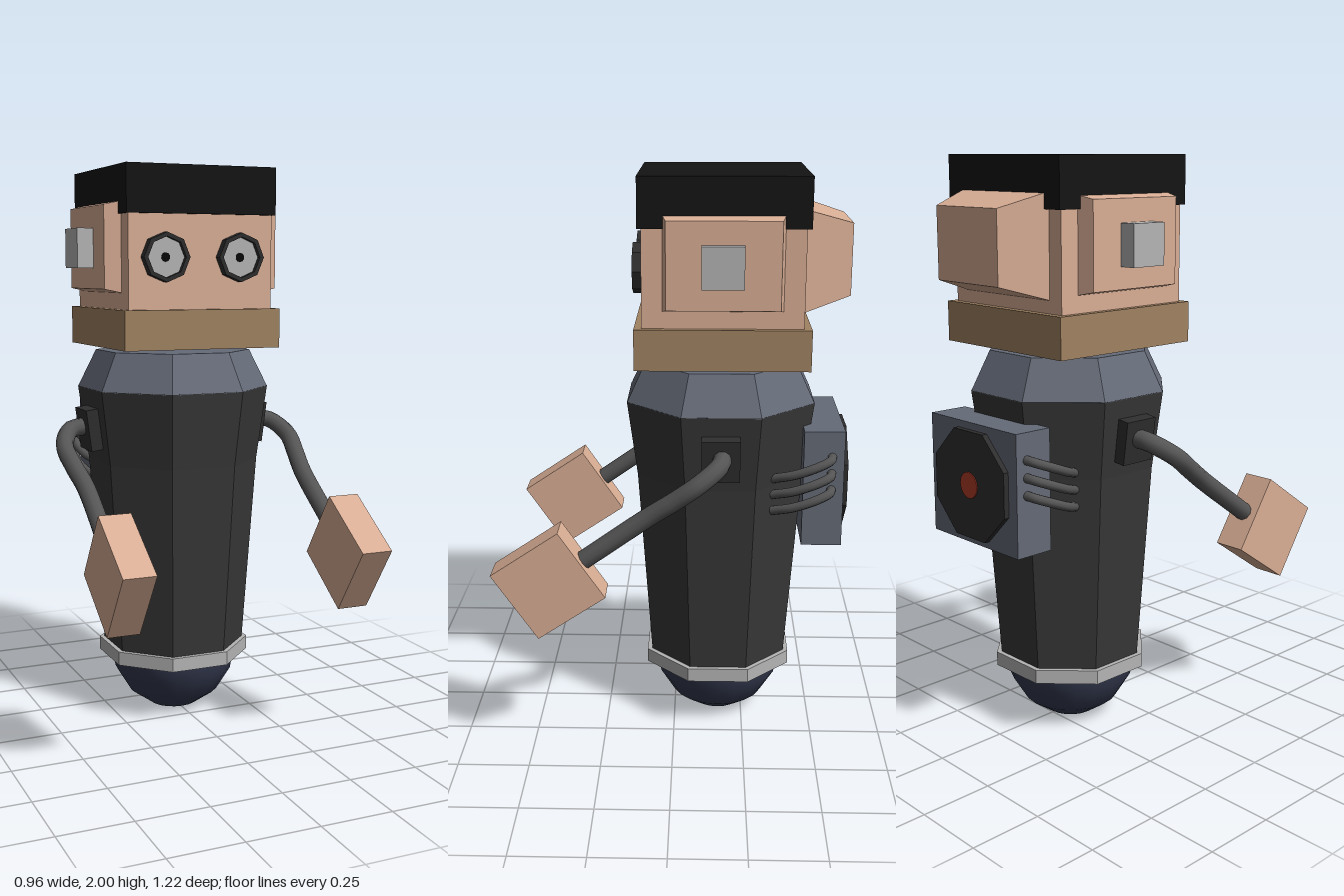
import * as THREE from 'three';

const mat = (color, flat = true) => new THREE.MeshStandardMaterial({ color, flatShading: flat });
const SKIN = mat(0xd9ae95), JAW = mat(0xa08262), HAIR = mat(0x141414), SUIT = mat(0x373737),
  STEEL = mat(0x646a77), SILVER = mat(0xb4b4b4), DARK = mat(0x2e2e2e), HOSE = mat(0x555555, false),
  BASE = mat(0x343a50, false), RED = mat(0xb03a28), BLACK = mat(0x080808);
const CZ = -0.16; // z of the body axis
const OCT = 1 / Math.cos(Math.PI / 8); // flat-to-corner ratio of an octagon

export function createModel() {
  const model = new THREE.Group();
  model.name = 'robot';

  const add = (name, geometry, material, x = 0, y = 0, z = 0) => {
    const mesh = new THREE.Mesh(geometry, material);
    mesh.name = name;
    mesh.position.set(x, y, z);
    model.add(mesh);
    return mesh;
  };
  const box = (name, w, h, d, material, x, y, z) =>
    add(name, new THREE.BoxGeometry(w, h, d), material, x, y, z);
  // Octagonal lathe with flat sides facing the axes; profile gives [apothem, y]
  const octLathe = (profile) => new THREE.LatheGeometry(
    profile.map(([r, y]) => new THREE.Vector2(r * OCT, y)), 8, Math.PI / 8);
  // Block whose face on the outer side of one axis is shrunk by an inset
  const taperedBlock = (size, axis, sign, inset) => {
    const g = new THREE.BoxGeometry(...size), p = g.attributes.position;
    for (let i = 0; i < p.count; i++) {
      if (p.getComponent(i, axis) * sign < 0) continue;
      for (let k = 0; k < 3; k++) {
        const v = p.getComponent(i, k);
        if (k !== axis) p.setComponent(i, k, v - Math.sign(v) * inset[k]);
      }
    }
    g.computeVertexNormals();
    return g;
  };
  const tube = (name, points, radius, segments) => add(name, new THREE.TubeGeometry(
    new THREE.CatmullRomCurve3(points.map((p) => new THREE.Vector3(...p))), segments, radius, 10), HOSE);

  // Rounded base
  add('base', new THREE.LatheGeometry([[0, 0], [0.09, 0.004], [0.17, 0.06], [0.222, 0.145], [0.235, 0.21], [0.235, 0.24]]
    .map(([r, y]) => new THREE.Vector2(r, y)), 20), BASE, 0, 0, CZ);
  // Torso, waist ring and collar
  add('waistRing', octLathe([[0, 0.205], [0.26, 0.205], [0.26, 0.255], [0, 0.255]]), SILVER, 0, 0, CZ);
  add('torso', octLathe([[0, 0.25], [0.243, 0.25], [0.29, 0.95], [0.325, 1.22], [0, 1.22]]), SUIT, 0, 0, CZ);
  add('collar', octLathe([[0.325, 1.218], [0.262, 1.355], [0, 1.355]]), STEEL, 0, 0, CZ);

  // Head
  box('head', 0.54, 0.44, 0.535, SKIN, 0, 1.62, CZ - 0.002);
  box('jaw', 0.586, 0.138, 0.586, JAW, 0, 1.44, CZ - 0.002);
  box('hair', 0.56, 0.165, 0.562, HAIR, 0, 1.9175, CZ - 0.003);
  add('headBack', taperedBlock([0.43, 0.34, 0.165], 2, -1, [0.06, 0.05, 0]), SKIN, 0, 1.72, -0.507);

  // Backpack with round vent
  box('backpack', 0.45, 0.415, 0.14, STEEL, 0, 0.9375, -0.516);
  const vent = add('vent', octLathe([[0, 0], [0.183, 0], [0.183, 0.02], [0, 0.02]]), DARK, 0, 0.9375, -0.585);
  vent.rotation.x = -Math.PI / 2;
  const light = add('ventLight', new THREE.CylinderGeometry(0.045, 0.045, 0.004, 16), RED, 0, 0.9375, -0.606);
  light.rotation.x = -Math.PI / 2;

  for (const [s, side] of [[1, 'left'], [-1, 'right']]) {
    // Ear pad with a block, longer on the right
    add(side + 'Ear', taperedBlock([0.065, 0.315, 0.4], 0, s, [0, 0.014, 0.014]), SKIN, s * 0.295, 1.7225, CZ - 0.002);
    const reach = s > 0 ? 0.357 : 0.386;
    box(side + 'EarBlock', reach - 0.3, 0.138, 0.138, SILVER, s * (reach + 0.3) / 2, 1.721, CZ);

    // Eye: octagonal rim, inset plate and pupil
    const rim = add(side + 'EyeRim', new THREE.LatheGeometry(
      [[0.085, 0], [0.085, 0.034], [0.07, 0.034], [0.07, 0]].map(([r, y]) => new THREE.Vector2(r, y)), 8),
    DARK, s * 0.14, 1.688, 0.104);
    rim.rotation.x = Math.PI / 2;
    const plate = add(side + 'EyePlate', new THREE.CylinderGeometry(0.072, 0.072, 0.016, 8), SILVER, s * 0.14, 1.688, 0.112);
    plate.rotation.x = Math.PI / 2;
    const pupil = add(side + 'Pupil', new THREE.CylinderGeometry(0.016, 0.016, 0.004, 10), BLACK, s * 0.14, 1.688, 0.121);
    pupil.rotation.x = Math.PI / 2;

    // Shoulder plate, bent arm and blocky hand
    const shoulder = box(side + 'Shoulder', 0.06, 0.15, 0.13, DARK, s * 0.32, 1.077, CZ);
    shoulder.rotation.z = -s * 0.13;
    tube(side + 'Arm', [[0.33, 1.085, -0.165], [0.4, 1.075, -0.155], [0.444, 1.025, -0.085],
      [0.437, 0.965, -0.005], [0.423, 0.905, 0.08], [0.423, 0.745, 0.305]].map(([x, y, z]) => [s * x, y, z]), 0.032, 28);
    const hand = box(side + 'Hand', 0.113, 0.277, 0.277, SKIN, s * 0.4235, 0.674, 0.415);
    hand.rotation.x = 0.593;

    // Hoses from the backpack into the torso
    for (let i = 0; i < 3; i++) {
      const y = 1.055 - i * 0.059;
      tube(side + 'Hose' + (i + 1), [[0.21, y, -0.545], [0.255, y - 0.005, -0.535], [0.273, y - 0.025, -0.485],
        [0.262, y - 0.055, -0.41], [0.225, y - 0.08, -0.34]].map(([x, v, z]) => [s * x, v, z]), 0.016, 18);
    }
  }
  return model;
}
